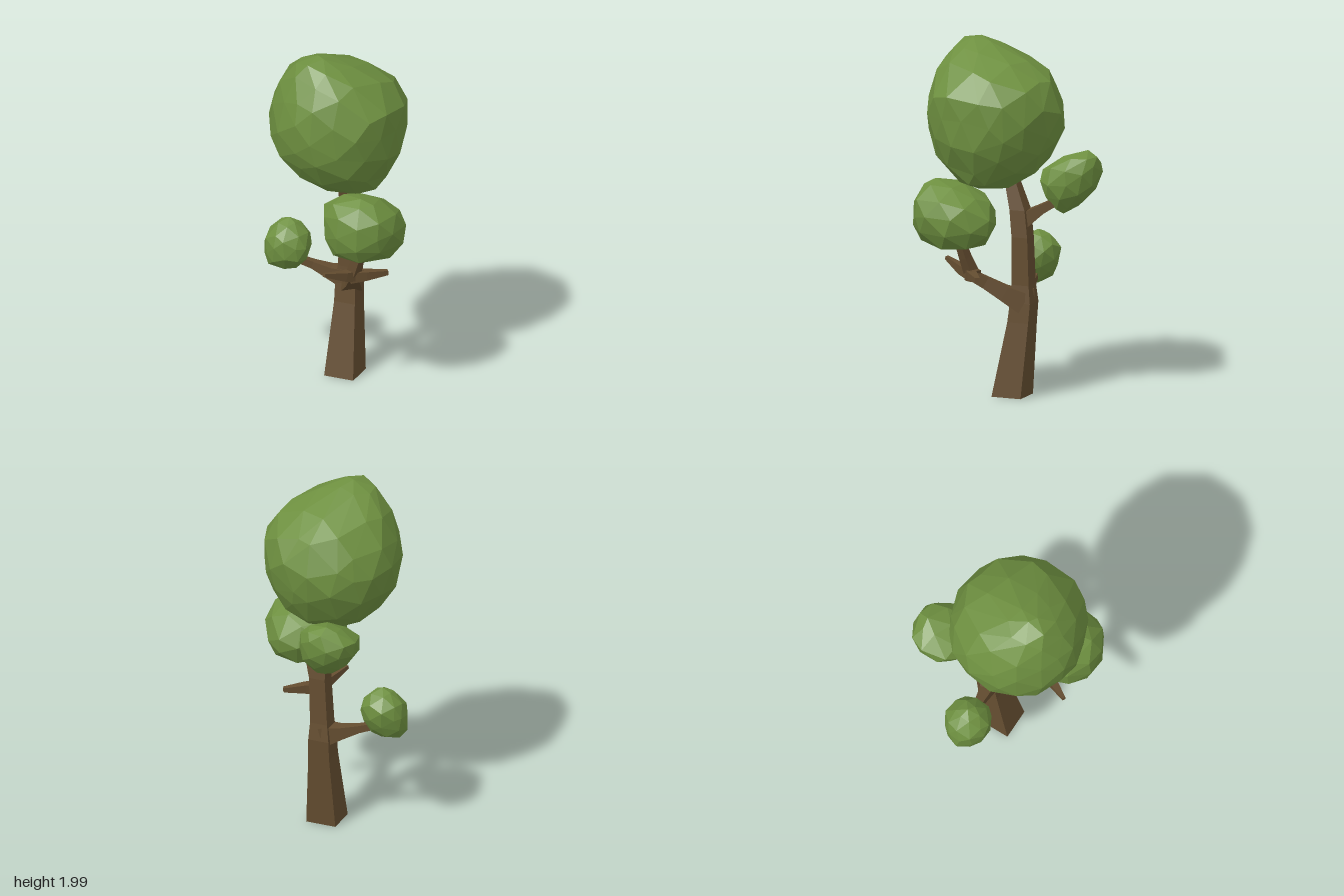
import * as THREE from 'three';
import { mergeVertices } from 'three/addons/utils/BufferGeometryUtils.js';

const leaf = new THREE.MeshStandardMaterial({ name: 'leaf green', color: 0x6e9040, flatShading: true });
const bark = new THREE.MeshStandardMaterial({ name: 'bark brown', color: 0x644d30, flatShading: true });

function seeded(seed) {
  let s = seed;
  return () => (s = (s * 16807) % 2147483647) / 2147483647;
}

function finish(geo, material, name) {
  geo.computeVertexNormals();
  const mesh = new THREE.Mesh(geo, material);
  mesh.name = name;
  return mesh;
}

// Four-sided limb through rings of [x, y, z, corner radius], capped at both ends
function limb(name, rings, direction, turn = Math.PI / 4) {
  const first = new THREE.Vector3(...rings[0]);
  const dir = (direction || new THREE.Vector3(...rings[rings.length - 1]).sub(first)).clone().normalize();
  const ref = Math.abs(dir.y) > 0.8 ? new THREE.Vector3(0, 0, 1) : new THREE.Vector3(0, 1, 0);
  const u = new THREE.Vector3().crossVectors(dir, ref).normalize();
  const w = new THREE.Vector3().crossVectors(dir, u);
  const pos = [], idx = [];
  rings.forEach(([x, y, z, r], i) => {
    for (let j = 0; j < 4; j++) {
      const a = turn + j * Math.PI / 2;
      const p = new THREE.Vector3(x, y, z).addScaledVector(u, r * Math.cos(a)).addScaledVector(w, r * Math.sin(a));
      pos.push(p.x, p.y, p.z);
      if (i === 0) continue;
      const k = (j + 1) % 4, b = (i - 1) * 4, t = i * 4;
      idx.push(b + j, b + k, t + k, b + j, t + k, t + j);
    }
  });
  const e = (rings.length - 1) * 4;
  idx.push(0, 2, 1, 0, 3, 2, e, e + 1, e + 2, e, e + 2, e + 3);
  const geo = new THREE.BufferGeometry();
  geo.setAttribute('position', new THREE.Float32BufferAttribute(pos, 3));
  geo.setIndex(idx);
  return finish(geo.toNonIndexed(), bark, name);
}

// Faceted leaf ball shaped by levels of [y, xMin, xMax, zMin, zMax], bottom to top
function crown(name, detail, levels, seed) {
  const rand = seeded(seed);
  let geo = new THREE.IcosahedronGeometry(1, detail);
  geo.deleteAttribute('normal');
  geo.deleteAttribute('uv');
  geo = mergeVertices(geo, 1e-3);
  const p = geo.attributes.position;
  const y0 = levels[0][0], y1 = levels[levels.length - 1][0];
  for (let i = 0; i < p.count; i++) {
    const v = new THREE.Vector3().fromBufferAttribute(p, i);
    v.x += (rand() - 0.5) * 0.16;
    v.y += (rand() - 0.5) * 0.12;
    v.z += (rand() - 0.5) * 0.16;
    v.normalize();
    const y = (y0 + y1) / 2 + v.y * (y1 - y0) / 2;
    let n = 1;
    while (n < levels.length - 1 && levels[n][0] < y) n++;
    const a = levels[n - 1], b = levels[n];
    const t = THREE.MathUtils.clamp((y - a[0]) / (b[0] - a[0]), 0, 1);
    const [, xa, xb, za, zb] = a.map((q, k) => q + (b[k] - q) * t);
    const flat = Math.hypot(v.x, v.z) || 1;
    const grow = 1.0 + rand() * 0.05;
    p.setXYZ(i,
      (xa + xb) / 2 + (v.x / flat) * grow * (xb - xa) / 2,
      y,
      (za + zb) / 2 + (v.z / flat) * grow * (zb - za) / 2);
  }
  return finish(geo.toNonIndexed(), leaf, name);
}

export function createModel() {
  const tree = new THREE.Group();
  tree.name = 'tree';

  // Trunk, leaning back and then forward into the main crown
  tree.add(limb('trunk', [
    [-0.025, 0, -0.035, 0.123],
    [-0.045, 0.42, -0.09, 0.088],
    [-0.05, 0.53, -0.1, 0.085],
    [-0.047, 0.63, -0.1, 0.072],
    [-0.035, 0.9, -0.103, 0.066],
    [-0.035, 1.05, -0.085, 0.064],
    [-0.03, 1.2, -0.035, 0.048],
  ], new THREE.Vector3(0, 1, 0), 1.107 - Math.PI / 2));

  // Branches
  tree.add(limb('leftBranch', [
    [-0.05, 0.55, -0.1, 0.085], [-0.14, 0.572, -0.045, 0.05],
    [-0.23, 0.605, 0, 0.03], [-0.33, 0.64, 0.06, 0.025],
  ]));
  tree.add(limb('rightBranch', [
    [-0.04, 0.53, -0.1, 0.085], [0.04, 0.585, -0.03, 0.06],
    [0.11, 0.645, 0.045, 0.046], [0.17, 0.69, 0.1, 0.04],
  ]));
  tree.add(limb('rightUpperBranch', [
    [0.15, 0.68, 0.1, 0.045], [0.2, 0.79, 0.11, 0.036], [0.25, 0.92, 0.12, 0.028],
  ]));
  tree.add(limb('frontTwig', [
    [0.17, 0.685, 0.06, 0.045], [0.155, 0.705, 0.17, 0.036], [0.13, 0.75, 0.31, 0.014],
  ]));
  tree.add(limb('sideTwig', [
    [0.15, 0.685, 0.12, 0.045], [0.21, 0.69, 0.05, 0.036], [0.28, 0.693, -0.05, 0.018],
  ]));
  tree.add(limb('backBranch', [
    [-0.045, 0.99, -0.1, 0.06], [-0.1, 1.055, -0.185, 0.036], [-0.18, 1.12, -0.28, 0.025],
  ]));

  // Leaf crowns
  tree.add(crown('mainCrown', 2, [
    [1.16, -0.03, 0.1, -0.05, 0.12],
    [1.2, -0.15, 0.24, -0.11, 0.2],
    [1.25, -0.22, 0.28, -0.18, 0.28],
    [1.33, -0.29, 0.335, -0.24, 0.345],
    [1.42, -0.34, 0.36, -0.29, 0.4],
    [1.54, -0.37, 0.375, -0.32, 0.43],
    [1.62, -0.36, 0.38, -0.32, 0.435],
    [1.76, -0.33, 0.375, -0.28, 0.4],
    [1.85, -0.27, 0.28, -0.18, 0.37],
    [1.92, -0.2, 0.18, -0.03, 0.335],
    [1.97, -0.08, 0.07, 0.1, 0.31],
    [2.0, -0.01, 0.01, 0.19, 0.21],
  ], 7));
  tree.add(crown('rightCrown', 1, [
    [0.845, 0.18, 0.4, 0, 0.2],
    [0.89, 0.1, 0.44, -0.08, 0.32],
    [0.95, 0.07, 0.475, -0.1, 0.355],
    [1.05, 0.045, 0.485, -0.11, 0.37],
    [1.13, 0.05, 0.475, -0.04, 0.355],
    [1.19, 0.1, 0.44, 0.05, 0.33],
    [1.24, 0.29, 0.33, 0.18, 0.22],
  ], 21));
  tree.add(crown('leftCrown', 1, [
    [0.57, -0.42, -0.34, 0.03, 0.1],
    [0.61, -0.48, -0.235, 0, 0.185],
    [0.7, -0.487, -0.215, -0.05, 0.193],
    [0.77, -0.48, -0.23, -0.055, 0.19],
    [0.83, -0.44, -0.26, -0.02, 0.14],
    [0.872, -0.37, -0.34, 0.06, 0.08],
  ], 35));
  tree.add(crown('backCrown', 1, [
    [1.03, -0.21, -0.17, -0.29, -0.25],
    [1.08, -0.32, -0.11, -0.34, -0.19],
    [1.14, -0.37, -0.09, -0.4, -0.13],
    [1.2, -0.41, -0.08, -0.425, -0.1],
    [1.27, -0.44, -0.085, -0.437, -0.12],
    [1.33, -0.39, -0.13, -0.43, -0.2],
    [1.378, -0.3, -0.25, -0.38, -0.33],
  ], 49));

  return tree;
}
